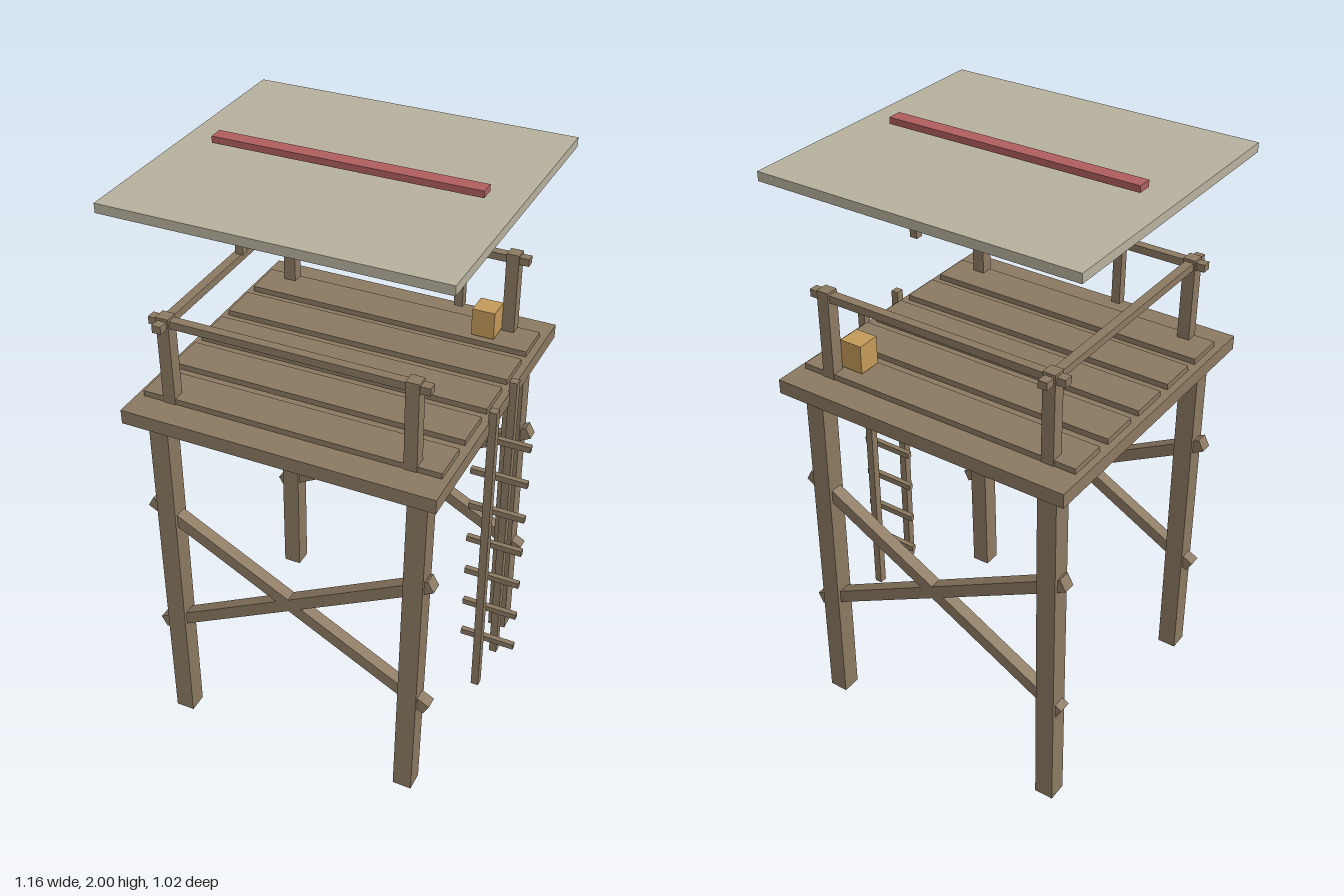
import * as THREE from 'three';

export function createModel() {
  const model = new THREE.Group();
  model.name = 'watchtower';
  const material = (name, color) => {
    const m = new THREE.MeshStandardMaterial({ color });
    m.name = name;
    return m;
  };
  const wood = material('weathered wood', 0x8c7a62);
  const canvas = material('pale canvas', 0xb8b29e);
  const red = material('faded red', 0xb05e5e);
  const amber = material('amber crate', 0xc59b5a);

  // Box given by its extents on each axis
  const box = (name, mat, [x0, x1], [y0, y1], [z0, z1]) => {
    const mesh = new THREE.Mesh(new THREE.BoxGeometry(x1 - x0, y1 - y0, z1 - z0), mat);
    mesh.position.set((x0 + x1) / 2, (y0 + y1) / 2, (z0 + z1) / 2);
    mesh.name = name;
    model.add(mesh);
    return mesh;
  };
  const around = (c, width) => [c - width / 2, c + width / 2];

  // Square beam in an x-y plane, running from one end point to the other
  const beam = (name, [x0, y0], [x1, y1], z, width) => {
    const length = Math.hypot(x1 - x0, y1 - y0);
    const mesh = new THREE.Mesh(new THREE.BoxGeometry(width, length, width), wood);
    mesh.position.set((x0 + x1) / 2, (y0 + y1) / 2, z);
    mesh.rotation.z = -Math.atan2(x1 - x0, y1 - y0);
    mesh.name = name;
    model.add(mesh);
  };

  // Slightly leaning legs: bottom x, top x, z
  for (const [bottom, top, z] of [
    [-0.474, -0.466, 0.43], [0.368, 0.394, 0.43],
    [-0.489, -0.474, -0.43], [0.384, 0.378, -0.43],
  ]) beam('leg', [bottom, 0.002], [top, 1.26], z, 0.065);

  // Crossed braces on the front and back
  for (const z of [0.43, -0.43]) {
    beam('brace', [-0.53, 0.387], [0.44, 0.913], z, 0.042);
    beam('brace', [-0.53, 0.913], [0.44, 0.387], z, 0.042);
  }

  // Platform and floor planks
  box('platform', wood, [-0.56, 0.47], [1.25, 1.298], [-0.512, 0.512]);
  for (let i = -2; i <= 2; i++)
    box('plank', wood, [-0.537, 0.447], [1.295, 1.317], around(i * 0.175, 0.131));

  // Railing, open on the ladder side
  for (const z of [0.397, -0.397]) {
    for (const x of [-0.445, 0.35])
      box('railingPost', wood, around(x, 0.042), [1.29, 1.597], around(z, 0.042));
    box('railing', wood, [-0.495, 0.402], [1.564, 1.589], around(z, 0.03));
  }
  box('sideRailing', wood, around(-0.445, 0.03), [1.563, 1.588], [-0.45, 0.45]);

  // Roof, its two posts and the ridge strip
  for (const x of [-0.41, 0.32])
    box('roofPost', wood, around(x, 0.027), [1.615, 1.945], around(0, 0.027));
  box('roof', canvas, [-0.58, 0.49], [1.941, 1.971], [-0.49, 0.49]);
  box('ridge', red, [-0.475, 0.385], [1.979, 2.0], around(0, 0.048));

  // Ladder
  for (const z of [0.088, -0.088])
    box('ladderRail', wood, around(0.479, 0.026), [0.195, 1.335], around(z, 0.027));
  for (let i = 0; i < 7; i++)
    box('ladderRung', wood, [0.386, 0.576], around(0.328 + i * 0.1395, 0.021), around(0, 0.018));

  // Crate in the back corner
  box('crate', amber, [0.253, 0.33], [1.325, 1.42], [-0.375, -0.298]);

  return model;
}
